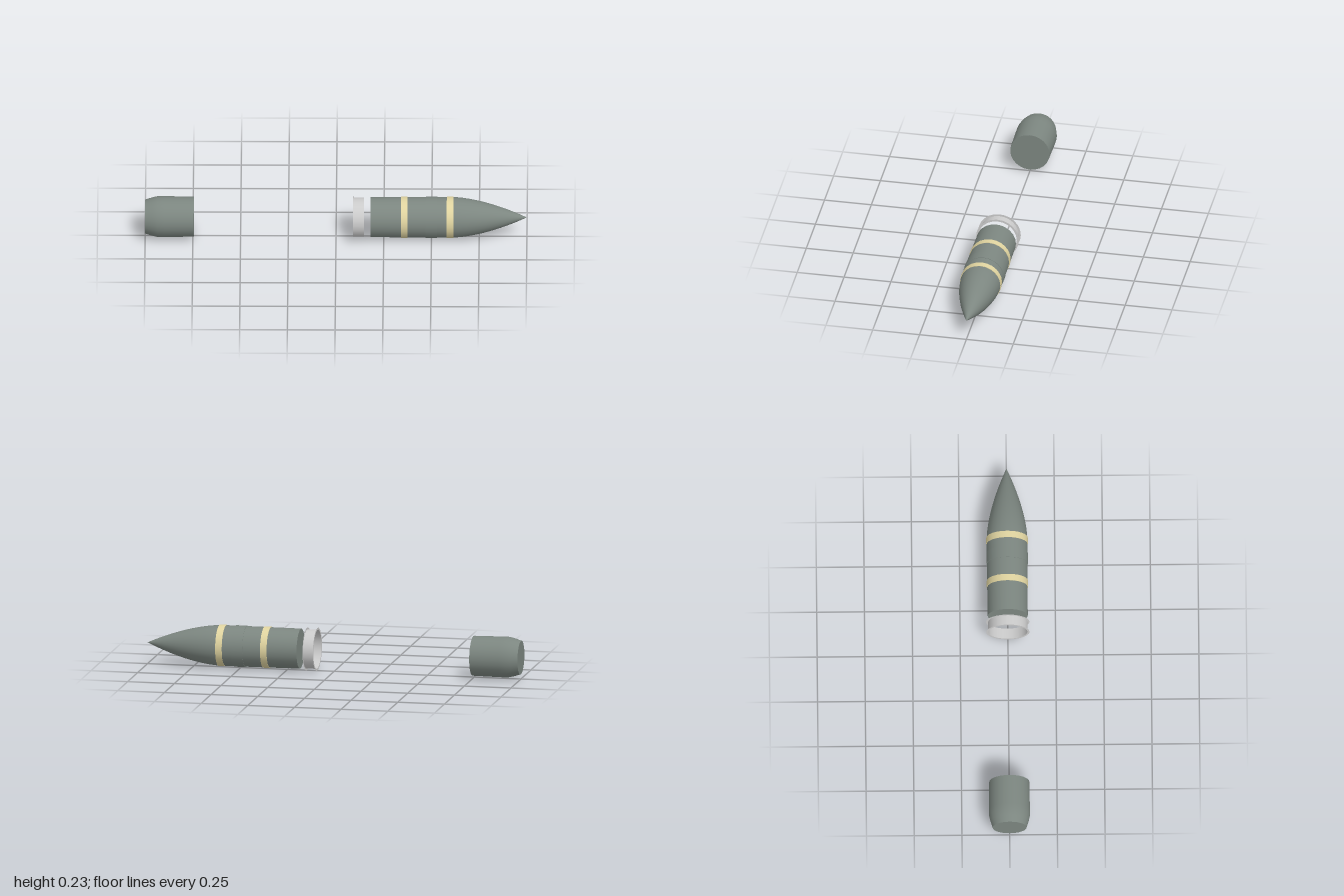
import * as THREE from 'three';

const AXIS_Y = 0.114;
const SIDES = 24;

const material = (color, side = THREE.FrontSide) =>
  new THREE.MeshStandardMaterial({ color, side });
const steel = material(0x7c8680);
const paint = material(0xe0d4a0);
const bare = material(0xc6c2c4, THREE.DoubleSide);

// Turns a profile of [x, radius] points around the long axis
function turned(name, profile, mat) {
  const points = profile.map(([x, r]) => new THREE.Vector2(r, x));
  const geometry = new THREE.LatheGeometry(points, SIDES);
  geometry.rotateZ(-Math.PI / 2);
  geometry.translate(0, AXIS_Y, 0);
  const mesh = new THREE.Mesh(geometry, mat);
  mesh.name = name;
  return mesh;
}

// Several profiles in one group, so that the edges between them stay sharp
function part(name, mat, profiles) {
  const group = new THREE.Group();
  group.name = name;
  profiles.forEach((p, i) => group.add(turned(`${name}Surface${i + 1}`, p, mat)));
  return group;
}

// Raised belt with square shoulders
const belt = (name, mat, x0, x1, inner, outer) => part(name, mat, [
  [[x0, inner], [x0, outer]],
  [[x0, outer], [x1, outer]],
  [[x1, outer], [x1, inner]],
]);

export function createModel() {
  const model = new THREE.Group();
  model.name = 'shell';

  // Separate base section with a boat-tail taper
  model.add(part('baseSection', steel, [
    [[-1, 0], [-1, 0.089]],
    [[-1, 0.089], [-0.965, 0.1], [-0.935, 0.107], [-0.9, 0.107], [-0.745, 0.105]],
    [[-0.745, 0.105], [-0.745, 0]],
  ]));

  // Thin flanged collar behind the body
  model.add(belt('collar', bare, 0.09, 0.146, 0.103, 0.114));
  model.getObjectByName('collarSurface2').geometry.dispose();
  model.getObjectByName('collarSurface2').geometry =
    turned('wall', [[0.09, 0.103], [0.146, 0.103]], bare).geometry;

  // Body with a flat rear face
  model.add(part('body', steel, [
    [[0.18, 0], [0.18, 0.105]],
    [[0.18, 0.105], [0.4, 0.1065], [0.6, 0.107]],
  ]));

  // Curved nose
  const nose = [];
  for (let i = 0; i <= 12; i++) {
    const t = i / 12;
    nose.push([0.6 + 0.4 * t, 0.107 * (1 - t ** 1.7)]);
  }
  model.add(turned('nose', nose, steel));

  // Driving belt and two painted bands
  model.add(belt('drivingBelt', steel, 0.47, 0.53, 0.105, 0.109));
  model.add(belt('rearBand', paint, 0.34, 0.375, 0.105, 0.1085));
  model.add(belt('frontBand', paint, 0.58, 0.615, 0.105, 0.109));

  return model;
}
